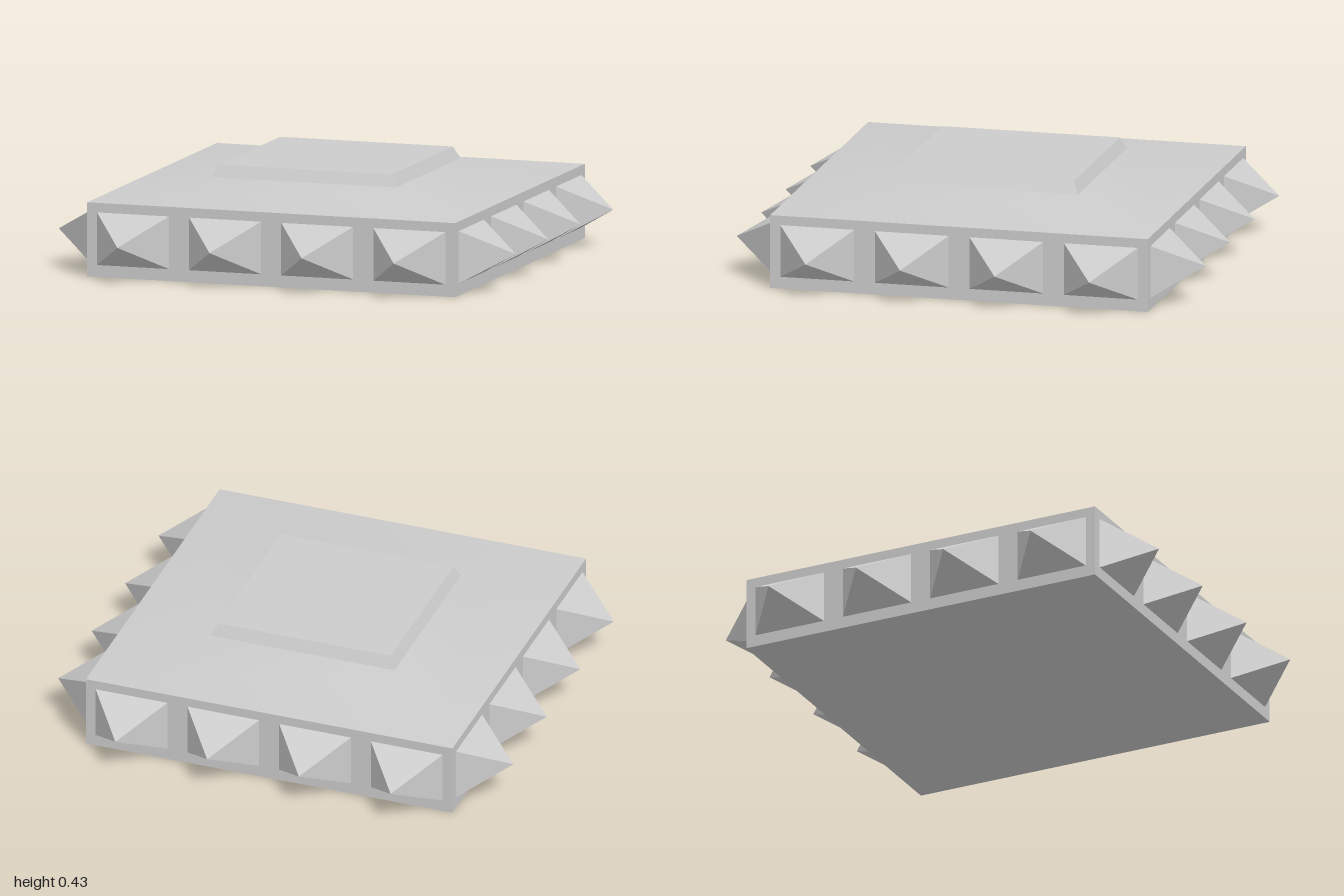
import * as THREE from 'three';

const HALF = 0.805;     // half width of the slab
const SLAB_TOP = 0.31;
const ROOF_TOP = 0.375;

const smooth = new THREE.MeshStandardMaterial({ color: 0xcccccc });
const flat = new THREE.MeshStandardMaterial({ color: 0xcccccc, flatShading: true });

// Square frustum given by its half widths, standing from y0 to y1
function frustum(halfBottom, halfTop, y0, y1, open) {
  const g = new THREE.CylinderGeometry(halfTop * Math.SQRT2, halfBottom * Math.SQRT2, y1 - y0, 4, 1, open);
  return g.rotateY(Math.PI / 4).translate(0, (y0 + y1) / 2, 0);
}

function addMesh(parent, name, geometry, material) {
  const mesh = new THREE.Mesh(geometry, material);
  mesh.name = name;
  parent.add(mesh);
  return mesh;
}

export function createModel() {
  const model = new THREE.Group();
  model.name = 'spikedSlab';

  // Square slab
  const slab = new THREE.BoxGeometry(HALF * 2, SLAB_TOP, HALF * 2).translate(0, SLAB_TOP / 2, 0);
  addMesh(model, 'slab', slab, flat);

  // Shallow sloping roof, softly shaded around its corners
  addMesh(model, 'slopedRoof', frustum(HALF, 0.403, SLAB_TOP, ROOF_TOP, true), smooth);

  // Bevelled plate on top
  addMesh(model, 'topPlate', frustum(0.403, 0.378, ROOF_TOP, 0.425, false), flat);

  // Pyramid spikes, four on each side, pointing outwards
  const spike = new THREE.ConeGeometry(Math.SQRT1_2, 1, 4, 1, true)
    .rotateY(Math.PI / 4)
    .translate(0, 0.5, 0)
    .scale(0.315, 1 - HALF, 0.22)
    .rotateX(Math.PI / 2);
  ['front', 'left', 'back', 'right'].forEach((side, s) => {
    const row = new THREE.Group();
    row.name = side + 'Spikes';
    row.rotation.y = s * Math.PI / 2;
    for (let i = 0; i < 4; i++) {
      addMesh(row, side + 'Spike' + (i + 1), spike, flat)
        .position.set((i - 1.5) * 0.403, 0.16, HALF);
    }
    model.add(row);
  });

  return model;
}
